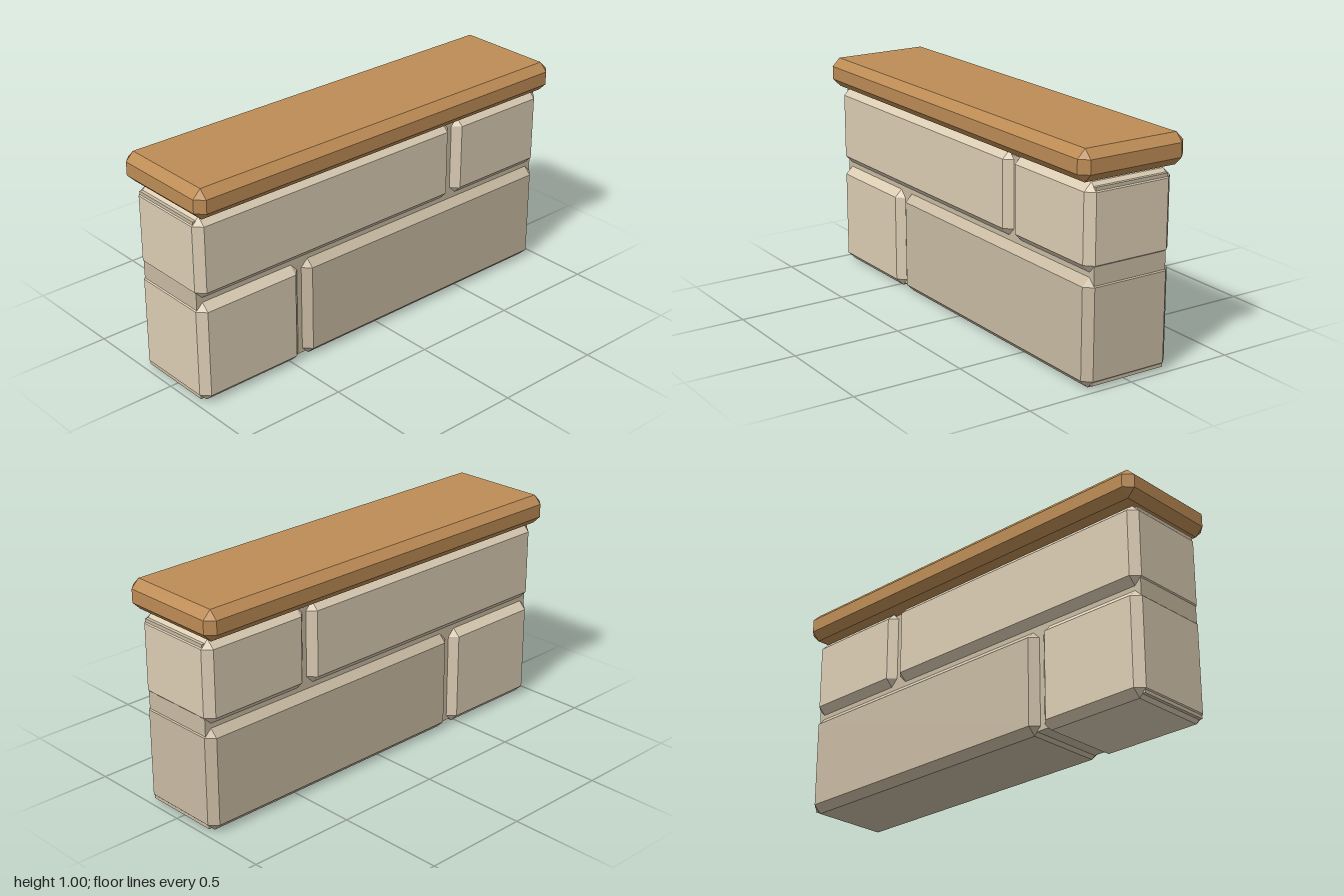
import * as THREE from 'three';
import { ConvexGeometry } from 'three/addons/geometries/ConvexGeometry.js';

const material = (color) => new THREE.MeshStandardMaterial({ color, flatShading: true });

// Box between two corners with every edge and corner cut at 45 degrees
function chamferedBox(min, max, c) {
  const size = max.map((v, i) => v - min[i]);
  const half = size.map((v) => v / 2);
  const points = [];
  for (const sx of [-1, 1]) for (const sy of [-1, 1]) for (const sz of [-1, 1]) {
    const s = [sx, sy, sz];
    for (let full = 0; full < 3; full++) {
      points.push(new THREE.Vector3(...s.map((k, i) => k * (i === full ? half[i] : half[i] - c))));
    }
  }
  return new ConvexGeometry(points).translate(
    min[0] + half[0], min[1] + half[1], min[2] + half[2]);
}

export function createModel() {
  const group = new THREE.Group();
  const lightStone = material(0xdccdb4);
  const darkStone = material(0xc9bba3);
  const wood = material(0xbd8c55);

  const add = (name, geometry, mat) => {
    const mesh = new THREE.Mesh(geometry, mat);
    mesh.name = name;
    group.add(mesh);
  };

  // Stone blocks in two staggered courses: name, y range, z range, material
  const blocks = [
    ['lowerShortBlock', 0, 0.47, 0.45, 0.98, lightStone],
    ['lowerLongBlock', 0, 0.47, -0.98, 0.428, darkStone],
    ['upperLongBlock', 0.49, 0.86, -0.425, 0.98, lightStone],
    ['upperShortBlock', 0.49, 0.86, -0.98, -0.445, lightStone],
  ];
  for (const [name, y0, y1, z0, z1, mat] of blocks) {
    add(name, chamferedBox([-0.214, y0, z0], [0.214, y1, z1], 0.035), mat);
  }

  // Mortar core filling the joints
  add('mortarCore', new THREE.BoxGeometry(0.36, 0.83, 1.95).translate(0, 0.43, 0), darkStone);

  // Overhanging cap
  add('capPlank', chamferedBox([-0.262, 0.87, -1], [0.262, 1.005, 1], 0.037), wood);

  return group;
}
